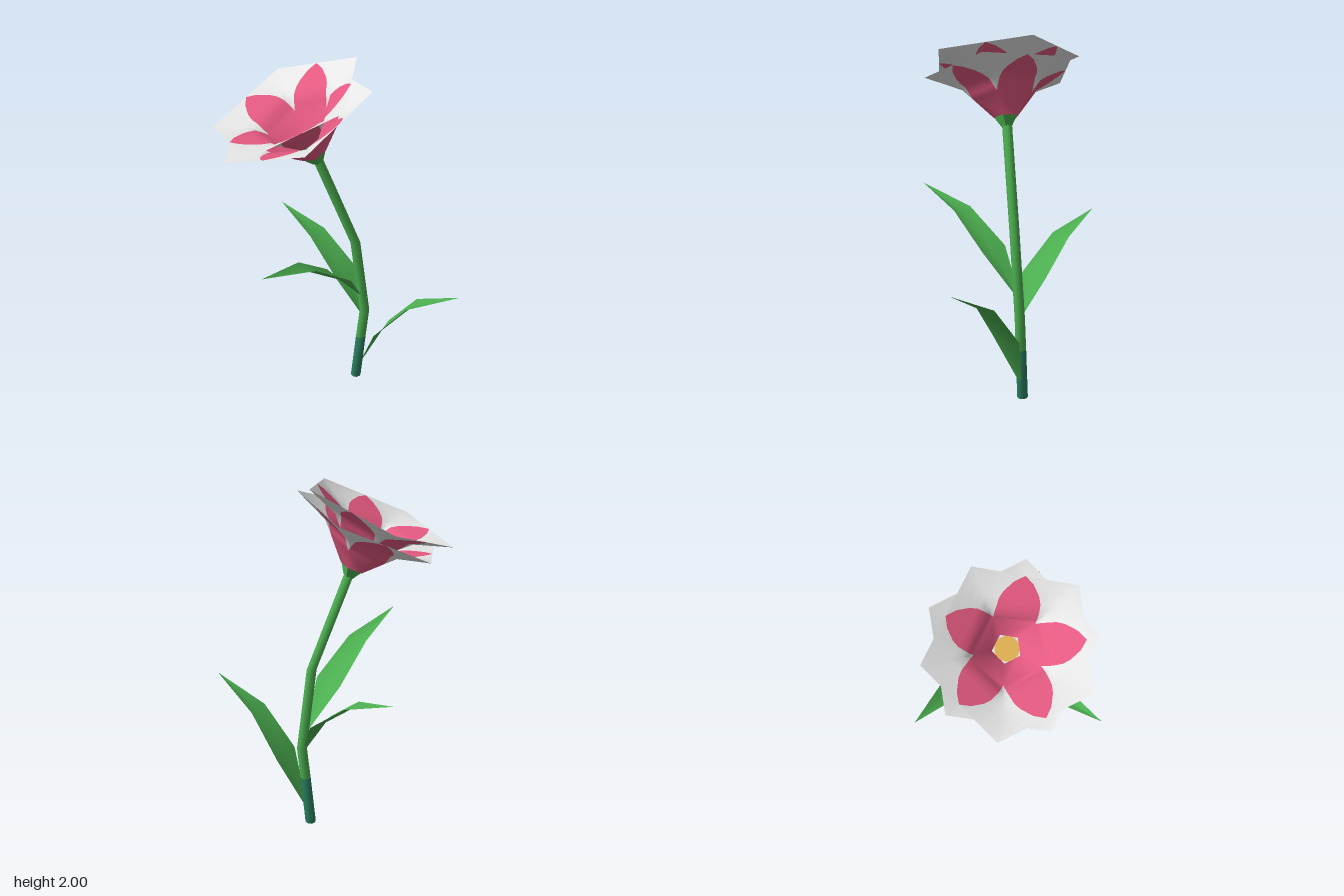
import * as THREE from 'three';
import { mergeVertices, toCreasedNormals } from 'three/addons/utils/BufferGeometryUtils.js';

const paint = (name, color, side = THREE.FrontSide) => {
  const m = new THREE.MeshStandardMaterial({ color, side });
  m.name = name;
  return m;
};

export function createModel() {
  const model = new THREE.Group();
  const green = paint('leafGreen', 0x4caf50, THREE.DoubleSide);
  const teal = paint('stemBaseTeal', 0x2a7f5f);
  const white = paint('petalWhite', 0xe8e8e8, THREE.DoubleSide);
  const pink = paint('petalPink', 0xe65a82, THREE.DoubleSide);
  const yellow = paint('centreYellow', 0xe3b352, THREE.DoubleSide);

  const add = (parent, name, geometry, material) => {
    const mesh = new THREE.Mesh(geometry, material);
    mesh.name = name;
    parent.add(mesh);
    return mesh;
  };

  // Stem: a cylinder whose rings are moved onto the points [x, y, z, radius]
  const stem = (name, rings, material) => {
    const n = rings.length - 1;
    const g = new THREE.CylinderGeometry(1, 1, n, 8, n);
    const p = g.attributes.position;
    for (let i = 0; i < p.count; i++) {
      const [x, y, z, r] = rings[Math.round(p.getY(i) + n / 2)];
      p.setXYZ(i, x + p.getX(i) * r, y, z + p.getZ(i) * r);
    }
    add(model, name, toCreasedNormals(g, 0.9), material);
  };
  const joint = [0.155, 0.3, -0.038, 0.029];
  stem('stemBase', [[0.13, 0, -0.05, 0.03], joint], teal);
  stem('stem', [joint, [0.172, 0.49, -0.03, 0.028], [0.11, 0.97, -0.005, 0.027], [-0.1, 1.52, 0.02, 0.027]], green);

  // Leaves: slightly folded blades; rows are [distance out, rise, half width, fold depth]
  const leaf = (name, [x, y, z], dx, dz, rows) => {
    const pos = [], index = [];
    const len = Math.hypot(dx, dz), ux = dx / len, uz = dz / len;
    rows.forEach(([d, rise, w, fold], i) => {
      for (const s of [-1, 0, 1]) {
        pos.push(x + ux * d - uz * w * s, y + rise + (s ? fold / 2 : -fold / 2), z + uz * d + ux * w * s);
      }
      if (!i) return;
      for (let c = 0; c < 2; c++) {
        const a = (i - 1) * 3 + c, b = a + 3;
        index.push(a, a + 1, b + 1, a, b + 1, b);
      }
    });
    const g = new THREE.BufferGeometry();
    g.setAttribute('position', new THREE.Float32BufferAttribute(pos, 3));
    g.setIndex(index);
    g.computeVertexNormals();
    add(model, name, g, green);
  };
  leaf('lowerLeaf', [0.16, 0.12, -0.03], 0.454, 0.377,
    [[0, 0, 0.012, 0], [0.127, 0.28, 0.087, 0.02], [0.313, 0.52, 0.062, 0.02], [0.59, 0.68, 0.001, 0]]);
  leaf('middleLeaf', [0.15, 0.49, -0.03], -0.398, -0.449,
    [[0, 0, 0.012, 0], [0.11, 0.2, 0.085, 0.02], [0.33, 0.385, 0.06, 0.02], [0.6, 0.49, 0.001, 0]]);
  leaf('upperLeaf', [0.14, 0.61, -0.02], -0.566, 0.5,
    [[0, 0, 0.012, 0], [0.18, 0.21, 0.087, 0.03], [0.43, 0.39, 0.062, 0.03], [0.755, 0.495, 0.001, 0]]);

  // Flower head, tilted towards the right
  const flower = new THREE.Group();
  flower.name = 'flowerHead';
  flower.position.set(-0.1, 1.51, 0.02);
  flower.quaternion.setFromUnitVectors(new THREE.Vector3(0, 1, 0), new THREE.Vector3(-0.41, 0.91, 0.045).normalize());
  model.add(flower);

  // Five-sided calyx under the petals
  const calyx = new THREE.CylinderGeometry(0.09, 0.03, 0.09, 5).translate(0, 0.025, 0);
  add(flower, 'calyx', toCreasedNormals(calyx, 0.5), green);

  // Petal cup: five flared panels, each with a pink petal on white.
  // Rows are [distance from the axis, height, half width of the pink]
  const slope = Math.tan(Math.PI / 5);
  const rows = [[0.056, 0, 1], [0.1375, 0.104, 1], [0.16, 0.132, 0.101], [0.186, 0.165, 0.1],
    [0.225, 0.184, 0.097], [0.26, 0.2006, 0.083], [0.31, 0.2246, 0.045], [0.342, 0.24, 0]];
  const cup = (name, height, turn) => {
    const faces = { white: [], pink: [] };
    for (let k = 0; k < 5; k++) {
      const t = THREE.MathUtils.degToRad(turn + 36 + 72 * k);
      const c = Math.cos(t), s = Math.sin(t);
      const grid = rows.map(([a, h, w]) => {
        const full = a * slope, half = Math.min(w, full);
        return [-full, -half, half, full].map((u) => [a * c - u * s, h, a * s + u * c]);
      });
      for (let i = 0; i + 1 < rows.length; i++) {
        for (let j = 0; j < 3; j++) {
          const [p, q] = [grid[i][j], grid[i][j + 1]];
          const [o, r] = [grid[i + 1][j], grid[i + 1][j + 1]];
          const list = j === 1 ? faces.pink : faces.white;
          const wide = (m, n) => Math.hypot(m[0] - n[0], m[2] - n[2]) > 1e-5;
          if (wide(p, q)) list.push(...p, ...q, ...r);
          if (wide(o, r)) list.push(...p, ...r, ...o);
        }
      }
    }
    let g = new THREE.BufferGeometry();
    g.setAttribute('position', new THREE.Float32BufferAttribute([...faces.white, ...faces.pink], 3));
    g = mergeVertices(g, 1e-5);
    g.clearGroups();
    g.addGroup(0, faces.white.length / 3, 0);
    g.addGroup(faces.white.length / 3, faces.pink.length / 3, 1);
    g.computeVertexNormals();
    add(flower, name, g, [white, pink]).position.y = height;
  };
  cup('outerPetals', 0.033, 17);
  cup('innerPetals', 0.108, -19);

  // Flower centre: a white five-sided plate with a round yellow disc
  const disc = (name, r, sides, y, material) => add(flower, name,
    new THREE.CircleGeometry(r, sides).rotateX(-Math.PI / 2).rotateY(THREE.MathUtils.degToRad(19)), material).position.y = y;
  disc('centrePlate', 0.074, 5, 0.112, white);
  disc('centreDisc', 0.061, 24, 0.117, yellow);

  return model;
}
